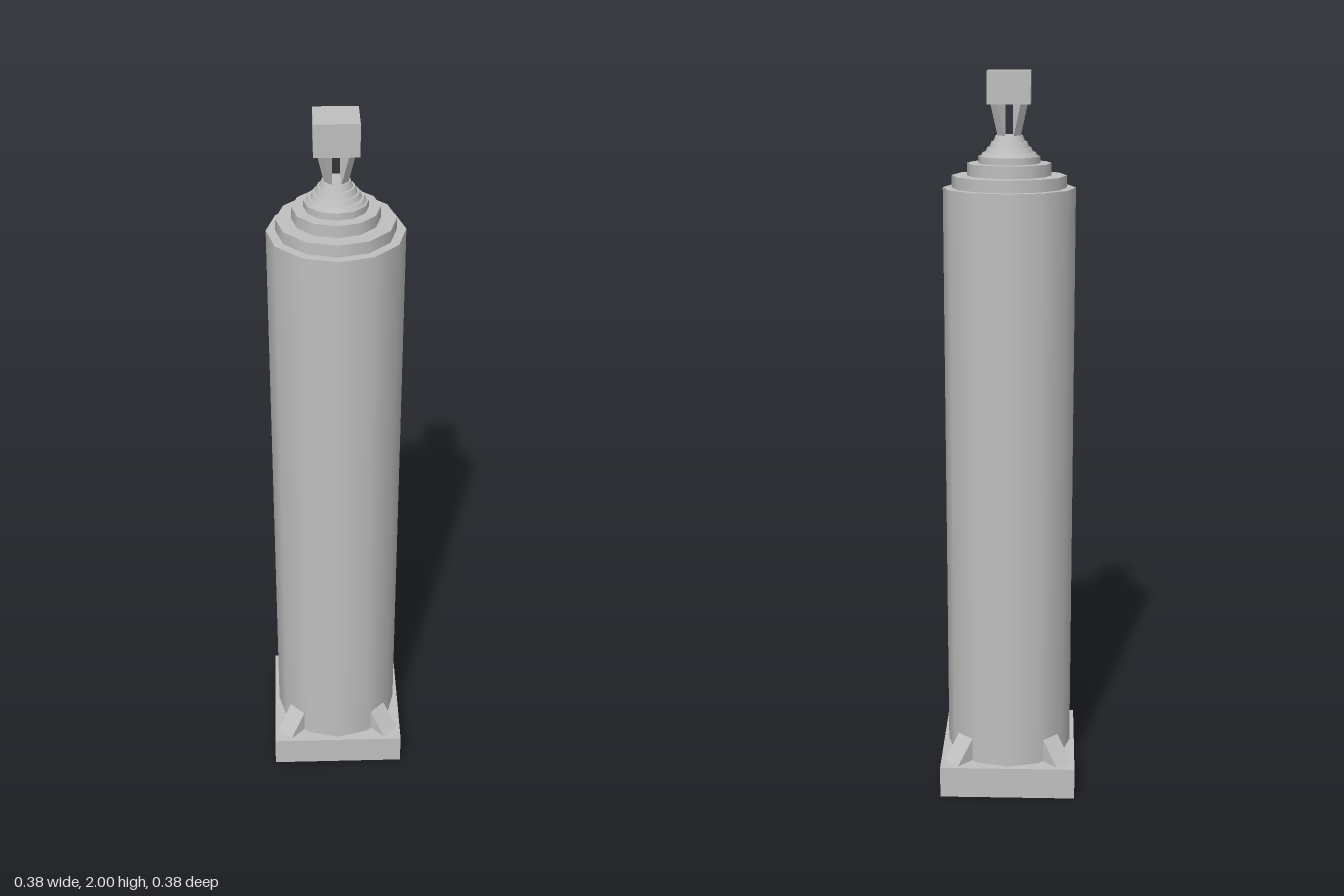
import * as THREE from 'three';

export function createModel() {
  const model = new THREE.Group();
  model.name = 'column';
  const stone = new THREE.MeshStandardMaterial({ color: 0xbfbfbf });
  stone.name = 'grey stone';

  function add(geometry, name, y = 0) {
    const mesh = new THREE.Mesh(geometry, stone);
    mesh.name = name;
    mesh.position.y = y;
    model.add(mesh);
    return mesh;
  }

  // twelve-sided drum between two heights
  function drum(radius, bottom, top, name) {
    add(new THREE.CylinderGeometry(radius, radius, top - bottom, 12), name, (bottom + top) / 2);
  }

  // four wedges on the diagonals; profile points are [distance from axis, height]
  function wedges(profile, width, name) {
    const shape = new THREE.Shape(profile.map(([r, y]) => new THREE.Vector2(r, y)));
    const geometry = new THREE.ExtrudeGeometry(shape, { depth: width, bevelEnabled: false });
    geometry.translate(0, 0, -width / 2);
    for (let i = 0; i < 4; i++) {
      add(geometry, name + (i + 1)).rotation.y = Math.PI / 4 + i * Math.PI / 2;
    }
  }

  // square plinth and its corner braces
  add(new THREE.BoxGeometry(0.38, 0.09, 0.38), 'plinth', 0.045);
  wedges([[0.165, 0.09], [0.226, 0.09], [0.17, 0.157], [0.165, 0.157]], 0.057, 'baseBrace');

  // shaft and stepped shoulders
  drum(0.177, 0.09, 1.698, 'shaft');
  drum(0.153, 1.698, 1.73, 'lowerStep');
  drum(0.112, 1.73, 1.762, 'middleStep');
  drum(0.082, 1.762, 1.78, 'upperStep');

  // round stepped neck, one band at a time to keep the ledges crisp
  const bands = [[0.076, 1.78, 1.79], [0.064, 1.79, 1.803], [0.053, 1.803, 1.818], [0.042, 1.818, 1.834]];
  bands.forEach(([r, bottom, top], i) => {
    add(new THREE.CylinderGeometry(r - 0.006, r, top - bottom, 32), 'neckRing' + (i + 1), (bottom + top) / 2);
  });

  // flared struts carrying the cube on top
  wedges([[0.027, 1.832], [0.03, 1.832], [0.056, 1.916], [0.027, 1.916]], 0.025, 'headStrut');
  add(new THREE.BoxGeometry(0.114, 0.085, 0.114), 'headBlock', 1.9575);

  return model;
}
